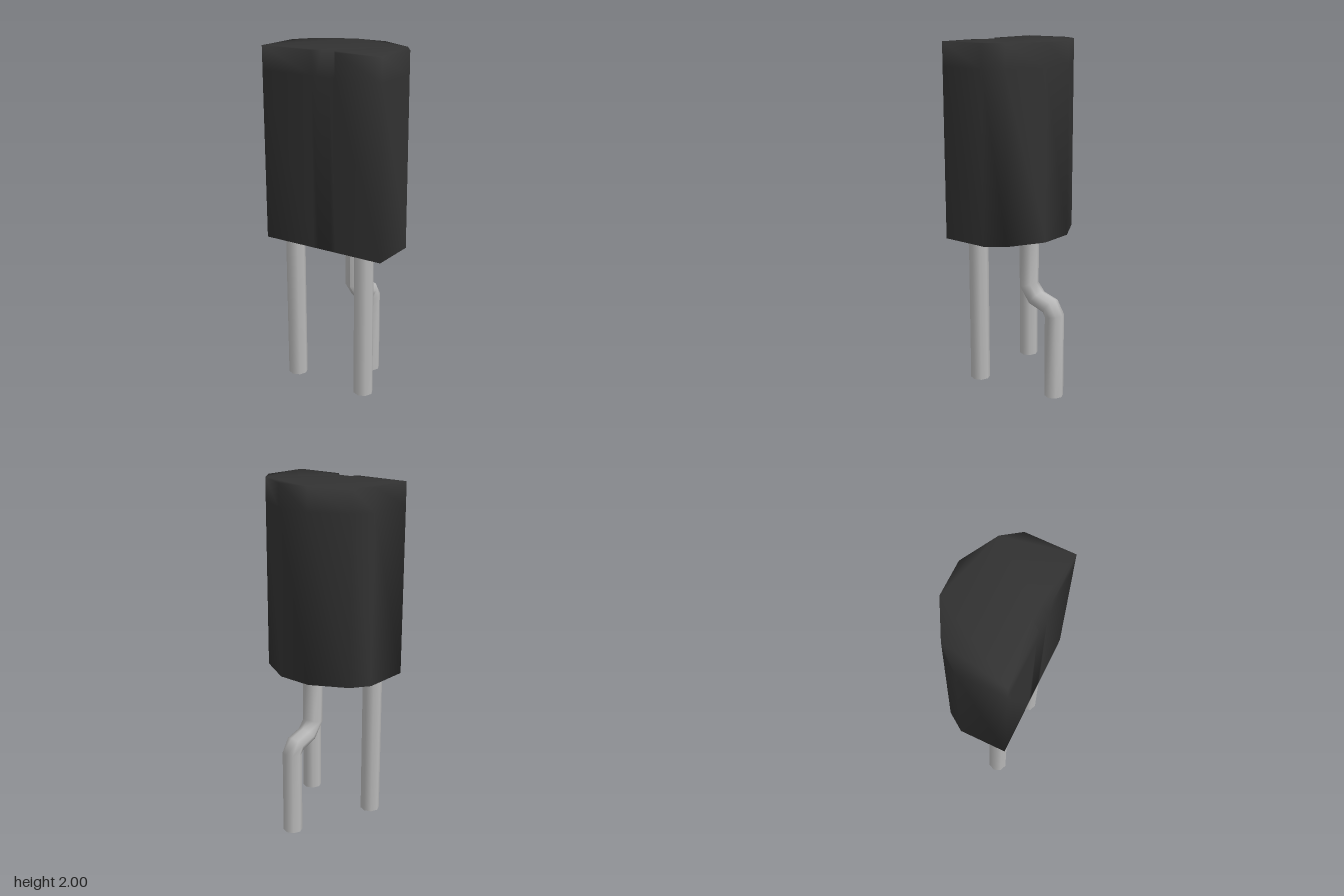
import * as THREE from 'three';
import { mergeVertices } from 'three/addons/utils/BufferGeometryUtils.js';

const plastic = new THREE.MeshStandardMaterial({ color: 0x323232 });
plastic.name = 'black plastic';
const metal = new THREE.MeshStandardMaterial({ color: 0xb8b8b8 });
metal.name = 'tinned metal';

const BOTTOM = 0.93, TOP = 2, FRONT = 0.27, DENT_BOTTOM = 1.87;

// D-shaped body, flat at the front, with a small sloping dent in its top front edge
function makeBody() {
  const outline = [
    [-0.37, FRONT], [-0.055, FRONT], [-0.02, 0.225], [0.06, 0.225], [0.09, FRONT],
    [0.37, FRONT], [0.37, 0], [0.3, -0.1], [0.1, -0.21], [-0.1, -0.21], [-0.3, -0.1], [-0.37, 0],
  ];
  const shape = new THREE.Shape(outline.map(([x, z]) => new THREE.Vector2(x, -z)));
  let geo = new THREE.ExtrudeGeometry(shape, { depth: TOP - BOTTOM, steps: 2, bevelEnabled: false });
  geo.rotateX(-Math.PI / 2).translate(0, BOTTOM, 0);
  const p = geo.attributes.position;
  for (let i = 0; i < p.count; i++) {
    const y = p.getY(i);
    if (y > TOP - 0.01) continue;
    if (y > BOTTOM + 0.01) p.setY(i, DENT_BOTTOM);
    // below the dent the front is flat
    if (Math.abs(p.getZ(i) - 0.225) < 0.001) p.setZ(i, FRONT);
  }
  geo.deleteAttribute('normal');
  geo.deleteAttribute('uv');
  geo = mergeVertices(geo, 1e-4);
  geo.computeVertexNormals();
  return geo;
}

// Round leg whose rings follow [y, z, tilt] stations, listed from the top down
function makeLeg(x, stations) {
  const n = stations.length - 1;
  const geo = new THREE.CylinderGeometry(0.055, 0.055, n, 8, n);
  const p = geo.attributes.position;
  const v = new THREE.Vector3();
  const axis = new THREE.Vector3(1, 0, 0);
  for (let i = 0; i < p.count; i++) {
    v.fromBufferAttribute(p, i);
    const [y, z, tilt] = stations[Math.round(n / 2 - v.y)];
    v.y = 0;
    v.applyAxisAngle(axis, tilt);
    p.setXYZ(i, v.x + x, v.y + y, v.z + z);
  }
  // keep the flat end caps, smooth the bent side
  const straight = geo.attributes.normal.clone();
  geo.computeVertexNormals();
  if (n === 1) geo.setAttribute('normal', straight);
  return geo;
}

export function createModel() {
  const model = new THREE.Group();
  const add = (name, geo, material) => {
    const mesh = new THREE.Mesh(geo, material);
    mesh.name = name;
    model.add(mesh);
  };

  add('body', makeBody(), plastic);

  // two straight outer legs
  const straight = [[0.95, 0.175, 0], [0.075, 0.175, 0]];
  add('rightLeg', makeLeg(-0.245, straight), metal);
  add('leftLeg', makeLeg(0.21, straight), metal);

  // middle leg, cranked towards the back
  add('middleLeg', makeLeg(0.018, [
    [0.95, -0.035, 0], [0.635, -0.035, 0.25], [0.565, -0.09, 0.85],
    [0.535, -0.185, 0.95], [0.485, -0.215, 0.15], [0, -0.215, 0],
  ]), metal);

  return model;
}
